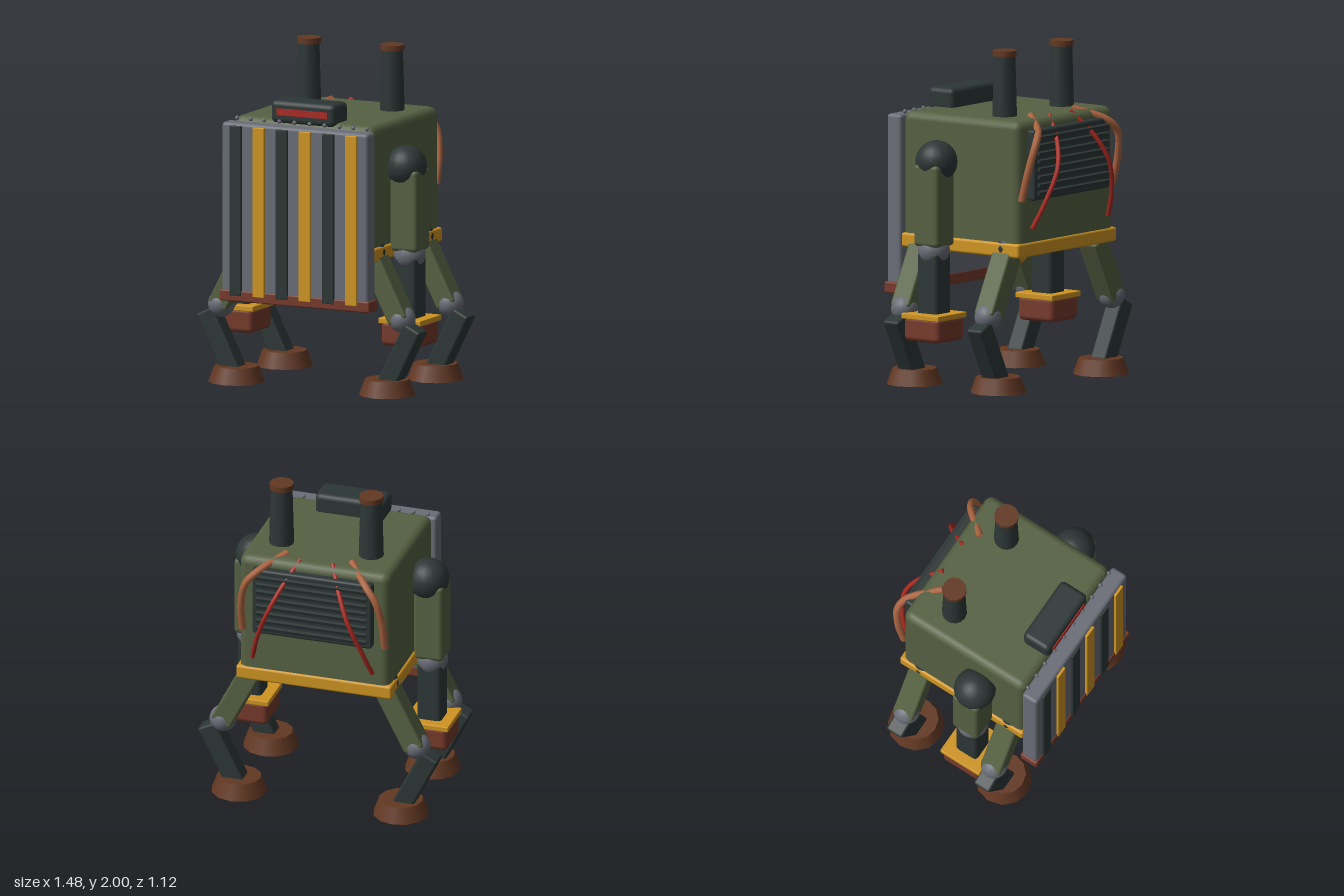
import * as THREE from 'three';
import { RoundedBoxGeometry } from 'three/addons/geometries/RoundedBoxGeometry.js';

const material = (name, color) => {
  const m = new THREE.MeshStandardMaterial({ color });
  m.name = name;
  return m;
};

export function createModel() {
  const root = new THREE.Group();
  root.name = 'walkingMachine';

  const olive = material('olive paint', 0x566142);
  const dark = material('dark iron', 0x2d3636);
  const yellow = material('warning yellow', 0xcf9522);
  const steel = material('grey steel', 0x6a6d77);
  const rust = material('red rust', 0x773a2c);
  const brown = material('brown rust', 0x633823);
  const red = material('signal red', 0xab2a22);
  const copper = material('copper', 0xab6440);

  const add = (name, geometry, mat, x = 0, y = 0, z = 0, parent = root) => {
    const mesh = new THREE.Mesh(geometry, mat);
    mesh.name = name;
    mesh.position.set(x, y, z);
    parent.add(mesh);
    return mesh;
  };
  const box = (w, h, d, r = 0.015) => new RoundedBoxGeometry(w, h, d, 2, r);
  const ball = (r) => new THREE.SphereGeometry(r, 20, 14);

  // Beveled beam between two points in the same z plane
  const beam = (name, mat, x1, y1, x2, y2, z, width, depth, parent) => {
    const length = Math.hypot(x2 - x1, y2 - y1);
    const mesh = add(name, box(width, length, depth, 0.015), mat,
      (x1 + x2) / 2, (y1 + y2) / 2, z, parent);
    mesh.rotation.z = Math.atan2(x1 - x2, y2 - y1);
    return mesh;
  };

  const hose = (name, mat, radius, points, side) => {
    const path = new THREE.CatmullRomCurve3(
      points.map(([x, y, z]) => new THREE.Vector3(side * x, y, z)));
    const mesh = add(name, new THREE.TubeGeometry(path, 32, radius, 8), mat);
    // Closed ends
    for (const t of [0, 1]) {
      const cap = add(name + 'End', new THREE.CircleGeometry(radius, 8), mat);
      cap.position.copy(path.getPoint(t));
      const out = path.getTangent(t).multiplyScalar(t ? 1 : -1);
      cap.quaternion.setFromUnitVectors(new THREE.Vector3(0, 0, 1), out);
    }
    return mesh;
  };

  // Hull and base plate
  add('hull', box(0.93, 0.78, 0.86, 0.05), olive, 0, 1.22, 0.01);
  add('basePlate', box(0.96, 0.085, 0.87, 0.015), yellow, 0, 0.843, 0.005);

  // Underside lamp
  add('lampRing', new THREE.CylinderGeometry(0.16, 0.16, 0.03, 24), dark, 0, 0.795, 0);
  add('lamp', ball(0.125), yellow, 0, 0.79, 0);

  // Front shield with stripes, sill and rivets
  add('shield', box(0.97, 1.03, 0.105, 0.02), steel, 0, 1.07, 0.49);
  add('shieldSill', box(0.995, 0.068, 0.115, 0.01), rust, 0, 0.553, 0.493);
  for (let i = 0; i < 6; i++) {
    add('shieldStripe', box(0.077, 1.015, 0.018, 0.004), i % 2 ? yellow : dark,
      -0.388 + i * 0.1535, 1.063, 0.549);
  }
  for (const x of [0.05, 0.15, 0.25, 0.34, 0.43]) {
    for (const s of [-1, 1]) {
      add('rivet', new THREE.SphereGeometry(0.013, 8, 6), steel, s * x, 1.6, 0.447);
    }
  }

  // Sensor head
  add('sensorHead', box(0.425, 0.135, 0.185, 0.03), dark, 0, 1.655, 0.353);
  add('sensorSlit', new THREE.BoxGeometry(0.335, 0.04, 0.009), red, 0, 1.658, 0.447);

  // Rear radiator grille
  add('grilleFrame', box(0.74, 0.42, 0.07, 0.015), dark, 0, 1.345, -0.432);
  for (let i = 0; i < 8; i++) {
    const slat = add('grilleSlat', new THREE.BoxGeometry(0.68, 0.022, 0.03), dark,
      0, 1.18 + i * 0.047, -0.467);
    slat.rotation.x = -0.35;
  }

  for (const s of [-1, 1]) {
    // Exhaust stacks
    add('stack', new THREE.CylinderGeometry(0.064, 0.075, 0.4, 14), dark, s * 0.277, 1.78, -0.175);
    add('stackCap', new THREE.CylinderGeometry(0.072, 0.072, 0.033, 14), brown,
      s * 0.277, 1.9835, -0.175);

    // Hoses over the grille
    hose('copperHose', copper, 0.022, [[0.2, 1.613, -0.31], [0.34, 1.54, -0.47],
      [0.4, 1.47, -0.495], [0.435, 1.32, -0.47], [0.44, 1.14, -0.425]], s);
    hose('redHose', red, 0.014, [[0.1, 1.613, -0.37], [0.18, 1.47, -0.49],
      [0.25, 1.32, -0.545], [0.32, 1.14, -0.515], [0.37, 0.97, -0.45]], s);

    // Arm
    const arm = new THREE.Group();
    arm.name = s > 0 ? 'leftArm' : 'rightArm';
    arm.position.set(s * 0.555, 0, 0.137);
    root.add(arm);
    add('shoulder', ball(0.125), dark, s * -0.025, 1.34, 0, arm);
    add('upperArm', box(0.18, 0.49, 0.18, 0.025), olive, 0, 1.085, 0, arm);
    add('elbow', ball(0.094), steel, 0, 0.815, 0, arm);
    add('forearm', box(0.15, 0.4, 0.15, 0.025), dark, 0, 0.61, 0, arm);
    add('cuff', box(0.28, 0.033, 0.275, 0.005), yellow, 0, 0.428, 0, arm);
    add('fist', box(0.26, 0.15, 0.26, 0.03), rust, 0, 0.353, 0, arm);

    // Front and rear legs
    for (const z of [0.32, -0.298]) {
      const leg = new THREE.Group();
      leg.name = (z > 0 ? 'front' : 'rear') + (s > 0 ? 'LeftLeg' : 'RightLeg');
      leg.position.z = z;
      root.add(leg);
      add('hip', ball(0.083), dark, s * 0.4, 0.848, 0, leg);
      beam('thigh', olive, s * 0.415, 0.81, s * 0.6, 0.45, 0, 0.13, 0.135, leg);
      add('knee', ball(0.08), steel, s * 0.6, 0.457, 0, leg);
      beam('shin', dark, s * 0.512, 0.06, s * 0.69, 0.416, 0, 0.12, 0.112, leg);
      add('foot', new THREE.CylinderGeometry(0.132, 0.167, 0.095, 12), brown,
        s * 0.5, 0.0475, 0, leg);
    }
  }

  return root;
}
